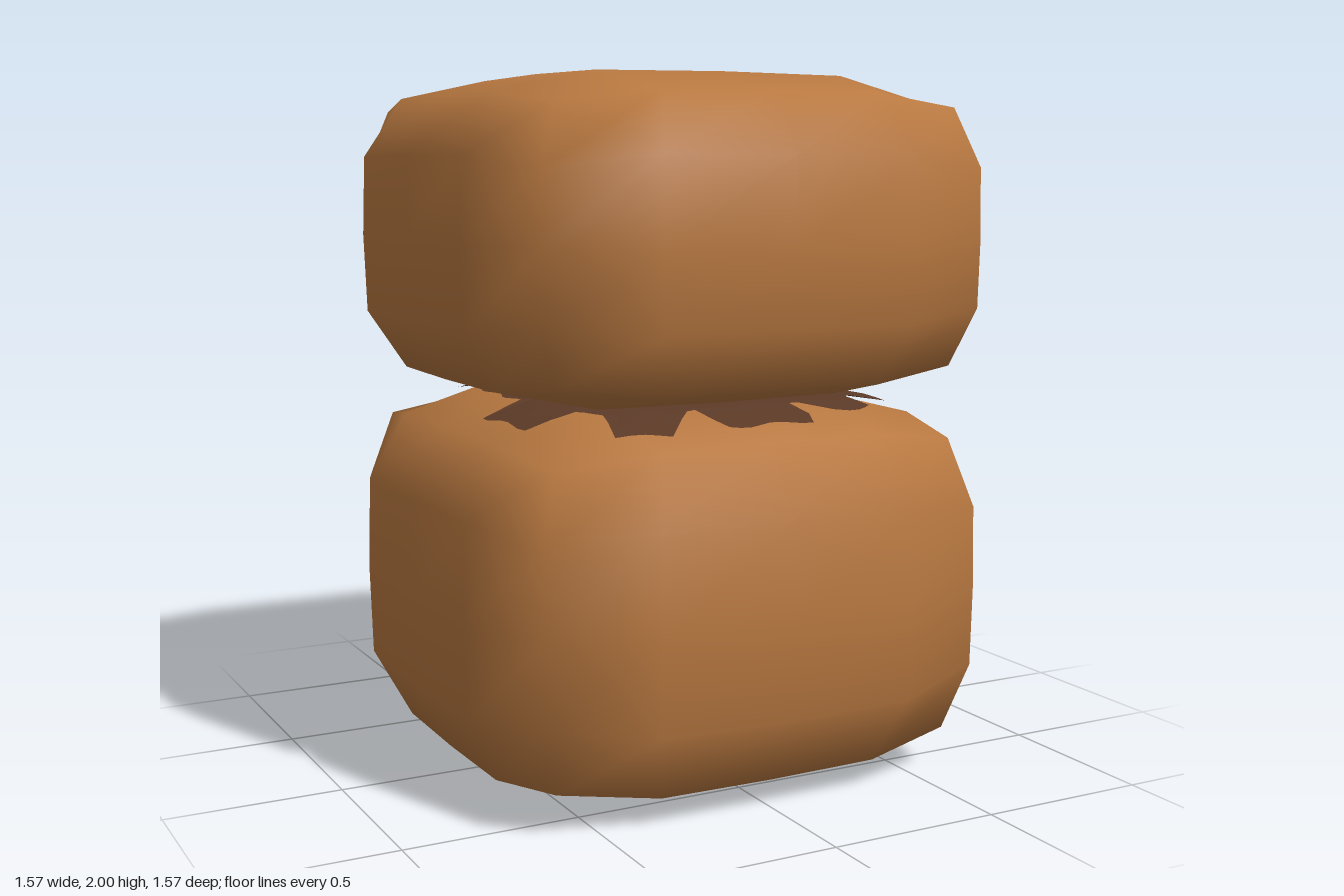
import * as THREE from 'three';
import { mergeVertices } from 'three/addons/utils/BufferGeometryUtils.js';

const POWER = 4.5;
const norm = (...v) => v.reduce((s, c) => s + Math.abs(c) ** POWER, 0) ** (1 / POWER);

// Pillow-shaped block: a coarse cube pulled onto a superellipsoid
function pillow(rx, ry, rz) {
  let g = new THREE.BoxGeometry(2, 2, 2, 4, 4, 4);
  g.deleteAttribute('normal');
  g.deleteAttribute('uv');
  g = mergeVertices(g);
  const p = g.attributes.position;
  for (let i = 0; i < p.count; i++) {
    const x = p.getX(i), y = p.getY(i), z = p.getZ(i);
    const k = 1 / norm(x, y, z);
    p.setXYZ(i, x * k * rx, y * k * ry, z * k * rz);
  }
  g.computeVertexNormals();
  return g;
}

// Thin sheet draped over the lower block, with drips reaching outward
function drippingSheet(rx, ry, rz, centerY) {
  // angle in degrees (0 = +x, 90 = +z), half width, reach
  const drips = [[120, 10, 0.79], [87, 18, 0.77], [56, 9, 0.71], [-5, 23, 0.79],
    [33, 8, 0.71], [243, 8, 0.79], [157, 15, 0.77]];
  const reach = (deg) => {
    let r = 0.6;
    for (const [a, w, far] of drips) {
      const d = Math.abs(((deg - a + 540) % 360) - 180) / w;
      if (d < 1) r = Math.max(r, 0.6 + (far - 0.6) * Math.min(1, (1 - d) * 4));
    }
    return r + 0.012 * Math.sin(deg * 0.35);
  };
  const rings = 5, sides = 120, pos = [], index = [];
  for (let j = 0; j <= rings; j++) {
    for (let i = 0; i < sides; i++) {
      const deg = i * 360 / sides, a = deg * Math.PI / 180;
      const c = Math.cos(a), s = Math.sin(a);
      const r = reach(deg) * j / rings / norm(c, s);
      const x = c * r, z = s * r;
      const y = (1 - norm(x, z) ** POWER) ** (1 / POWER);
      pos.push(x * rx, centerY + y * ry + 0.003, z * rz);
      if (j < rings) {
        const n = (i + 1) % sides, b = j * sides;
        index.push(b + i, b + n, b + sides + i, b + n, b + sides + n, b + sides + i);
      }
    }
  }
  const g = new THREE.BufferGeometry();
  g.setAttribute('position', new THREE.Float32BufferAttribute(pos, 3));
  g.setIndex(index);
  g.computeVertexNormals();
  return g;
}

export function createModel() {
  const group = new THREE.Group();
  group.name = 'stackedBlocks';
  const brown = new THREE.MeshStandardMaterial({ color: 0xb87840 });
  brown.name = 'warm brown';
  const dark = new THREE.MeshStandardMaterial({ color: 0x5c3a27, side: THREE.DoubleSide });
  dark.name = 'dark brown';

  const add = (name, geometry, material, y = 0) => {
    const m = new THREE.Mesh(geometry, material);
    m.name = name;
    m.position.y = y;
    group.add(m);
  };

  // Two soft blocks, one resting on the other
  add('lowerBlock', pillow(0.785, 0.545, 0.785), brown, 0.545);
  add('upperBlock', pillow(0.78, 0.46, 0.785), brown, 1.54);
  // Dark filling squeezed out at the seam
  add('filling', drippingSheet(0.785, 0.545, 0.785, 0.545), dark);
  return group;
}
